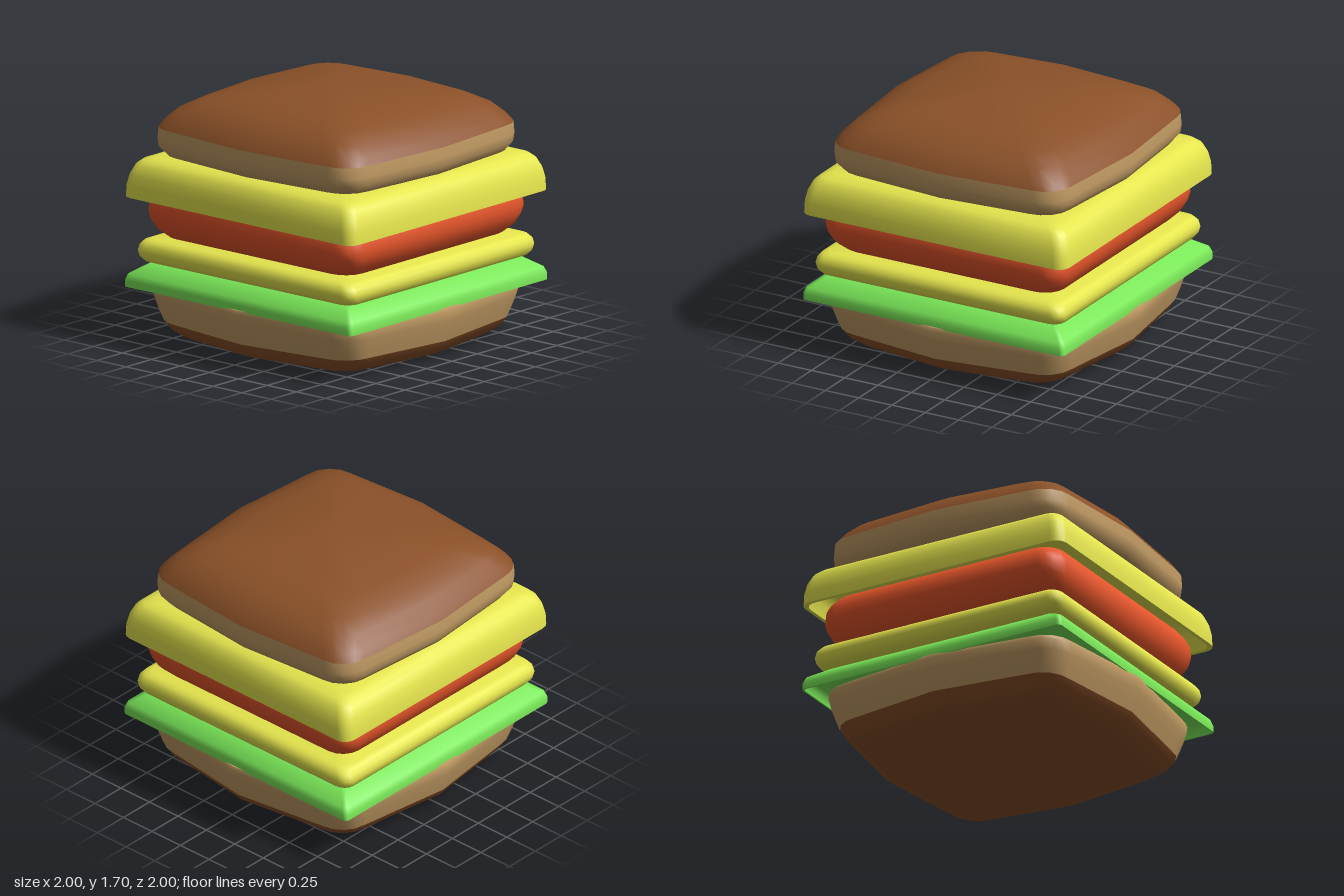
import * as THREE from 'three';
import { toCreasedNormals } from 'three/addons/utils/BufferGeometryUtils.js';

const BROWN = 0x8b5128, TAN = 0xc39c64, YELLOW = 0xe6e64e, RED = 0xe6552a, GREEN = 0x7ae858;

// Rounded square outline: s reaches the middle of each side, the corners are pulled in by bulge
function ring(s, y, radius, bulge) {
  const h = s * (1 - bulge), r = Math.min(radius, h * 0.45), pts = [];
  for (let q = 0; q < 4; q++) {
    const c = Math.cos(q * Math.PI / 2), n = Math.sin(q * Math.PI / 2);
    const add = (x, z) => pts.push(new THREE.Vector3(x * c - z * n, y, x * n + z * c));
    add(s, 0);
    for (let k = 0; k <= 4; k++) {
      const a = k / 4 * Math.PI / 2;
      add(h - r + r * Math.cos(a), h - r + r * Math.sin(a));
    }
  }
  return pts;
}

// Skin a profile of [half width, height] pairs, listed from the underside to the top
function layer(name, color, profile, { radius = 0.08, bulge = 0 } = {}) {
  const rings = profile.map(([s, y]) => ring(s, y, radius, bulge));
  const n = rings[0].length, pos = [];
  // Triangles that collapse to a line at the centre are left out
  const face = (...corners) => {
    if (new THREE.Triangle(...corners).getArea() > 1e-9) corners.forEach(p => pos.push(p.x, p.y, p.z));
  };
  for (let i = 0; i < rings.length - 1; i++) {
    for (let j = 0; j < n; j++) {
      const k = (j + 1) % n;
      face(rings[i][j], rings[i + 1][j], rings[i + 1][k]);
      face(rings[i][j], rings[i + 1][k], rings[i][k]);
    }
  }
  const geo = new THREE.BufferGeometry();
  geo.setAttribute('position', new THREE.Float32BufferAttribute(pos, 3));
  const mesh = new THREE.Mesh(toCreasedNormals(geo, 0.8),
    new THREE.MeshStandardMaterial({ color, side: THREE.DoubleSide }));
  mesh.name = name;
  return mesh;
}

// A bun is a dark crust and a pale crumb that meet along one outline
function bun(name, ...parts) {
  const group = new THREE.Group();
  group.name = name;
  return group.add(...parts);
}

export function createModel() {
  const model = new THREE.Group();
  model.name = 'sandwich';
  const lower = { radius: 0.2, bulge: 0.095 }, upper = { radius: 0.19, bulge: 0.062 };

  // Bottom bun, its rim just showing past the lettuce at the middle of each side
  const bottomBun = bun('bottomBun',
    layer('bottomCrust', BROWN, [[0, 0], [0.75, 0], [0.84, 0.02], [0.91, 0.075], [0.94, 0.125]], lower),
    layer('bottomCrumb', TAN,
      [[0.94, 0.125], [0.965, 0.2], [0.985, 0.27], [1, 0.34], [0.99, 0.365], [0.9, 0.375], [0, 0.39]], lower));

  // Lettuce, a thin sheet draped over the bun
  const lettuce = layer('lettuce', GREEN,
    [[0, 0.49], [0.84, 0.49], [0.945, 0.43], [0.967, 0.4], [0.97, 0.355], [0.98, 0.355], [0.98, 0.4],
      [0.965, 0.44], [0.86, 0.512], [0.82, 0.517], [0, 0.517]],
    { radius: 0.03 });

  // Lower cheese slice
  const lowerCheese = layer('lowerCheese', YELLOW,
    [[0, 0.517], [0.87, 0.517], [0.905, 0.53], [0.928, 0.56], [0.936, 0.597], [0.928, 0.635],
      [0.905, 0.663], [0.87, 0.675], [0, 0.675]]);

  // Patty, its top hidden inside the upper cheese
  const patty = layer('patty', RED,
    [[0, 0.673], [0.74, 0.673], [0.81, 0.69], [0.865, 0.745], [0.895, 0.81], [0.905, 0.86], [0.9, 0.92],
      [0.88, 0.97], [0.84, 1.02], [0.76, 1.05], [0, 1.05]],
    { radius: 0.14 });

  // Upper cheese, a cap hollow underneath
  const upperCheese = layer('upperCheese', YELLOW,
    [[0, 1.18], [0.84, 1.18], [0.92, 1.13], [0.955, 1.05], [0.965, 0.96], [0.99, 0.96], [0.987, 1.04],
      [0.973, 1.11], [0.945, 1.175], [0.91, 1.207], [0.85, 1.222], [0, 1.222]]);

  // Top bun with a domed crust
  const topBun = bun('topBun',
    layer('topCrumb', TAN, [[0, 1.222], [0.82, 1.222], [0.89, 1.24], [0.93, 1.295], [0.935, 1.35], [0.93, 1.425]], upper),
    layer('topCrust', BROWN, [[0.93, 1.425], [0.9, 1.47], [0.83, 1.54], [0.72, 1.6], [0.58, 1.642], [0, 1.7]], upper));

  model.add(bottomBun, lettuce, lowerCheese, patty, upperCheese, topBun);
  return model;
}
